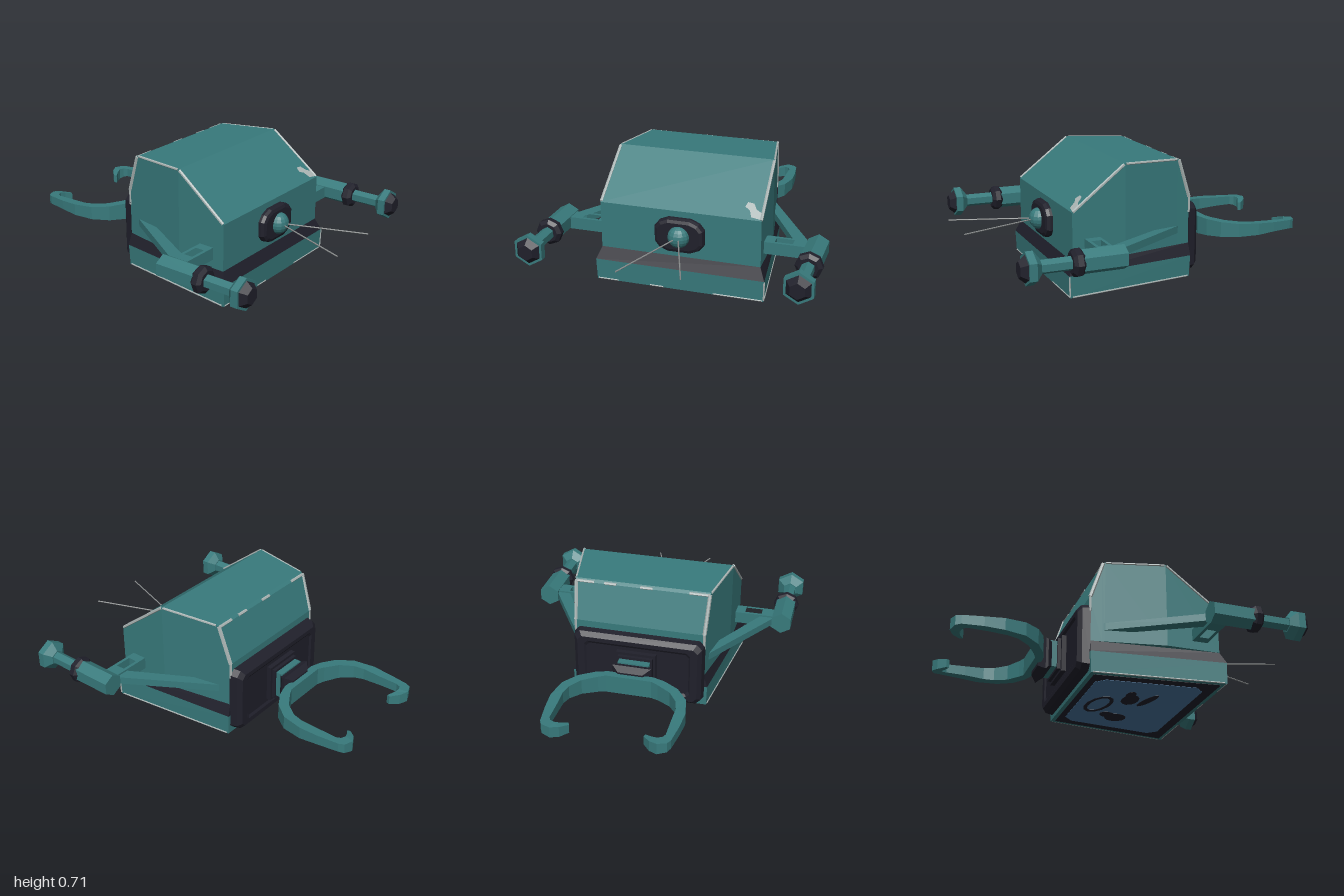
import * as THREE from 'three';

const mat = (name, color) => Object.assign(new THREE.MeshStandardMaterial({ color, flatShading: true }), { name });

export function createModel() {
  const root = new THREE.Group();
  root.name = 'clawRobot';
  const teal = mat('teal paint', 0x387a7c);
  const dark = mat('dark rubber', 0x20202b);
  const blue = mat('blue underside', 0x4a769e);
  const wire = mat('antenna wire', 0x8a8d8d);
  const worn = mat('worn metal', 0xabb5b4);

  const add = (name, geo, m, x = 0, y = 0, z = 0, parent = root) => {
    const mesh = new THREE.Mesh(geo, m);
    mesh.name = name;
    mesh.position.set(x, y, z);
    parent.add(mesh);
    return mesh;
  };

  // Skin a row of matching rings and cap both ends
  const loft = (rings) => {
    const pos = [], n = rings[0].length;
    const tri = (a, b, c) => pos.push(...a, ...b, ...c);
    for (let i = 0; i < rings.length - 1; i++) for (let j = 0; j < n; j++) {
      const k = (j + 1) % n;
      tri(rings[i][j], rings[i][k], rings[i + 1][k]);
      tri(rings[i][j], rings[i + 1][k], rings[i + 1][j]);
    }
    const s = rings[0], e = rings[rings.length - 1];
    for (let j = 1; j < n - 1; j++) {
      tri(s[0], s[j + 1], s[j]);
      tri(e[0], e[j], e[j + 1]);
    }
    const g = new THREE.BufferGeometry();
    g.setAttribute('position', new THREE.Float32BufferAttribute(pos, 3));
    g.computeVertexNormals();
    return g;
  };
  // Level ring, wider in front than behind
  const quad = (y, wf, zf, wb, zb) => [[wf, y, zf], [wb, y, zb], [-wb, y, zb], [-wf, y, zf]];
  // Upright ring across x, optionally with cut corners
  const upright = (w, y0, y1, z, c = 0) => {
    if (!c) return [[w, y0, z], [w, y1, z], [-w, y1, z], [-w, y0, z]];
    return [[w, y0 + c, z], [w, y1 - c, z], [w - c, y1, z], [c - w, y1, z],
      [-w, y1 - c, z], [-w, y0 + c, z], [c - w, y0, z], [w - c, y0, z]];
  };
  const shapeOf = (pts) => new THREE.Shape(pts.map(([x, y]) => new THREE.Vector2(x, y)));
  // Slab with its outline in x and z, from height y up to y + h
  const slab = (shape, y, h) => new THREE.ExtrudeGeometry(shape, { depth: h, bevelEnabled: false, curveSegments: 6 })
    .rotateX(Math.PI / 2).translate(0, y + h, 0);
  // Cylinder along z between z0 and z1
  const barrel = (r0, r1, z0, z1, sides = 6) => new THREE.CylinderGeometry(r1, r0, z1 - z0, sides)
    .rotateX(Math.PI / 2).translate(0, 0, (z0 + z1) / 2);
  const rod = (name, a, b, r, m) => {
    const p = new THREE.Vector3(...a), d = new THREE.Vector3(...b).sub(p);
    const mesh = add(name, new THREE.CylinderGeometry(r, r, d.length(), 6), m);
    mesh.position.copy(p).addScaledVector(d, 0.5);
    mesh.quaternion.setFromUnitVectors(new THREE.Vector3(0, 1, 0), d.normalize());
  };

  // Base and dark band
  add('base', loft([quad(0.006, 0.487, 0.505, 0.395, -0.25), quad(0.13, 0.49, 0.51, 0.4, -0.255)]), teal);
  add('band', loft([quad(0.13, 0.49, 0.51, 0.4, -0.255), quad(0.2, 0.46, 0.48, 0.378, -0.25)]), dark);

  // Upper hull: z, top height and half width from back to front
  const hull = [[-0.255, 0.47, 0.376], [-0.187, 0.682, 0.388], [-0.17, 0.696, 0.391],
    [0.172, 0.71, 0.454], [0.48, 0.47, 0.461]];
  add('hull', loft(hull.map(([z, top, w]) => upright(w, 0.2, top, z))), teal);

  // Worn edges
  for (const s of [-1, 1]) {
    rod('wornSlopeEdge', [s * 0.458, 0.472, 0.475], [s * 0.452, 0.704, 0.177], 0.009, worn);
    rod('wornRoofEdge', [s * 0.451, 0.706, 0.165], [s * 0.39, 0.692, -0.165], 0.007, worn);
    rod('wornRearEdge', [s * 0.385, 0.688, -0.18], [s * 0.374, 0.47, -0.251], 0.012, worn);
    rod('wornRearCorner', [s * 0.375, 0.47, -0.252], [s * 0.375, 0.38, -0.252], 0.008, worn);
    rod('wornBaseSide', [s * 0.485, 0.01, 0.49], [s * 0.396, 0.01, -0.24], 0.005, worn);
  }
  for (const [a, b] of [[-0.385, -0.27], [-0.06, 0.01], [0.15, 0.22], [0.28, 0.385]])
    rod('wornRidge', [a, 0.683, -0.182], [b, 0.683, -0.182], 0.009, worn);
  for (const [a, b] of [[-0.48, -0.36], [-0.17, -0.09], [0.2, 0.48]])
    rod('wornBaseFront', [a, 0.01, 0.503], [b, 0.01, 0.503], 0.005, worn);
  rod('wornBaseCorner', [0.488, 0.015, 0.506], [0.49, 0.125, 0.509], 0.005, worn);
  const scuff = new THREE.ShapeGeometry(shapeOf([[0.355, 0.075], [0.365, 0.105], [0.4, 0.1], [0.42, 0.065], [0.455, 0.045], [0.455, 0.005], [0.4, 0.015], [0.385, 0.055]]));
  add('scuff', scuff.rotateX(-Math.atan2(0.308, 0.24)), worn, 0, 0.473, 0.481);

  // Underside plates and blotches
  const frame = shapeOf([[-0.46, 0.48], [0.46, 0.48], [0.373, -0.226], [-0.373, -0.226]]);
  add('undersideFrame', slab(frame, 0.004, 0.005), dark);
  const panel = shapeOf([[-0.34, 0.42], [0.34, 0.42], [0.385, 0.37], [0.33, -0.14], [0.28, -0.19], [-0.28, -0.19], [-0.33, -0.14], [-0.385, 0.37]]);
  add('undersidePanel', slab(panel, 0.002, 0.005), blue);
  const ellipse = (x, z, rx, rz, turn = 0) => {
    const s = new THREE.Shape();
    s.absellipse(x, z, rx, rz, 0, Math.PI * 2, false, turn);
    return s;
  };
  const ring = ellipse(0.02, -0.07, 0.13, 0.07, -0.2);
  ring.holes.push(ellipse(0.02, -0.07, 0.105, 0.048, -0.2));
  const blots = [ring, ellipse(0.19, 0.09, 0.06, 0.065), ellipse(0.16, 0.03, 0.04, 0.05, -0.5),
    ellipse(-0.1, 0.08, 0.075, 0.05), ellipse(-0.17, 0.06, 0.05, 0.028), ellipse(-0.12, 0.18, 0.1, 0.025, -0.3)];
  for (const b of blots) add('undersideBlotch', slab(b, 0, 0.005), dark);

  // Front eye with its dark collar and two antennae
  const collar = new THREE.ExtrudeGeometry(
    shapeOf([[-0.12, -0.035], [-0.1, -0.06], [-0.06, -0.077], [0.06, -0.077], [0.1, -0.06], [0.12, -0.035],
      [0.12, 0.035], [0.1, 0.06], [0.06, 0.077], [-0.06, 0.077], [-0.1, 0.06], [-0.12, 0.035]]),
    { depth: 0.025, bevelThickness: 0.025, bevelSize: 0.023, bevelSegments: 2 });
  add('eyeCollar', collar, dark, 0.005, 0.335, 0.47);
  add('eye', new THREE.SphereGeometry(0.062, 14, 10).scale(1, 1, 0.9), teal, 0.008, 0.335, 0.517);
  rod('rightAntenna', [-0.005, 0.335, 0.56], [-0.165, 0.33, 0.998], 0.004, wire);
  rod('leftAntenna', [0.02, 0.335, 0.56], [0.178, 0.335, 0.99], 0.004, wire);

  // Arms: pierced strut, diagonal brace and stepped barrel
  for (const s of [1, -1]) {
    const arm = new THREE.Group();
    arm.name = s > 0 ? 'leftArm' : 'rightArm';
    root.add(arm);
    const rect = (x0, x1, z0, z1) => [[s * x0, z0], [s * x1, z0], [s * x1, z1], [s * x0, z1]];
    const strut = shapeOf(rect(0.4, 0.72, 0.32, 0.41));
    strut.holes.push(shapeOf(rect(0.515, 0.615, 0.338, 0.392)));
    add('strut', slab(strut, 0.25, 0.07), teal, 0, 0, 0, arm);
    const brace = shapeOf([[s * 0.375, -0.2], [s * 0.395, -0.17], [s * 0.685, 0.31], [s * 0.685, 0.335], [s * 0.615, 0.335], [s * 0.385, -0.08]]);
    add('brace', slab(brace, 0.268, 0.042), teal, 0, 0, 0, arm);
    const piece = (name, m, ...dims) => add(name, barrel(...dims), m, s * 0.74, 0.29, 0, arm);
    piece('rearBarrel', teal, 0.066, 0.066, 0.3, 0.54);
    piece('rubberRingBack', dark, 0.06, 0.076, 0.53, 0.545, 8);
    piece('rubberRing', dark, 0.076, 0.076, 0.545, 0.575, 8);
    piece('rubberRingFront', dark, 0.076, 0.056, 0.575, 0.592, 8);
    piece('frontBarrel', teal, 0.038, 0.038, 0.59, 0.77);
    piece('headFlare', teal, 0.045, 0.09, 0.755, 0.79);
    piece('head', teal, 0.09, 0.09, 0.79, 0.83);
    piece('nozzle', dark, 0.075, 0.045, 0.83, 0.865);
  }

  // Back plate with a raised rim round a shallow recess
  add('backPlate', loft([upright(0.3, 0.1, 0.36, -0.308, 0.02), upright(0.31, 0.085, 0.375, -0.317, 0.02),
    upright(0.35, 0.055, 0.4, -0.317, 0.025), upright(0.372, 0.035, 0.425, -0.295, 0.03),
    upright(0.382, 0.03, 0.43, -0.25, 0.03)]), dark);

  // Claw mount: stacked blocks and a funnel
  const block = (name, w, h, z0, z1, m) => add(name, new THREE.BoxGeometry(w, h, z1 - z0), m, 0, 0.23, (z0 + z1) / 2);
  block('mountPlate', 0.23, 0.22, -0.335, -0.295, dark);
  block('mountStep', 0.2, 0.19, -0.355, -0.335, dark);
  block('mountNeck', 0.18, 0.16, -0.395, -0.35, teal);
  add('mountFunnel', loft([upright(0.07, 0.15, 0.285, -0.46), upright(0.112, 0.12, 0.31, -0.425),
    upright(0.112, 0.135, 0.305, -0.41), upright(0.09, 0.15, 0.3, -0.385)]), dark);

  // Claw: outer x z, inner x z, bottom, top; mirrored across x
  const half = [
    [0.13, -0.445, 0.13, -0.492, 0.168, 0.275], [0.2, -0.465, 0.17, -0.51, 0.172, 0.272],
    [0.285, -0.515, 0.25, -0.56, 0.178, 0.268], [0.35, -0.6, 0.3, -0.63, 0.185, 0.264],
    [0.373, -0.72, 0.314, -0.69, 0.19, 0.26], [0.366, -0.83, 0.312, -0.8, 0.198, 0.255],
    [0.35, -0.95, 0.312, -0.91, 0.2, 0.252], [0.335, -0.98, 0.3, -0.935, 0.195, 0.252],
    [0.285, -0.998, 0.275, -0.945, 0.187, 0.252], [0.24, -0.975, 0.245, -0.935, 0.183, 0.245],
    [0.2, -0.93, 0.207, -0.912, 0.185, 0.235]];
  const section = (s) => ([ox, oz, ix, iz, y0, y1]) => [[s * ix, y0, iz], [s * ix, y1, iz], [s * ox, y1, oz], [s * ox, y0, oz]];
  add('claw', loft([...half.map(section(-1)).reverse(), ...half.map(section(1))]), teal);

  return root;
}
